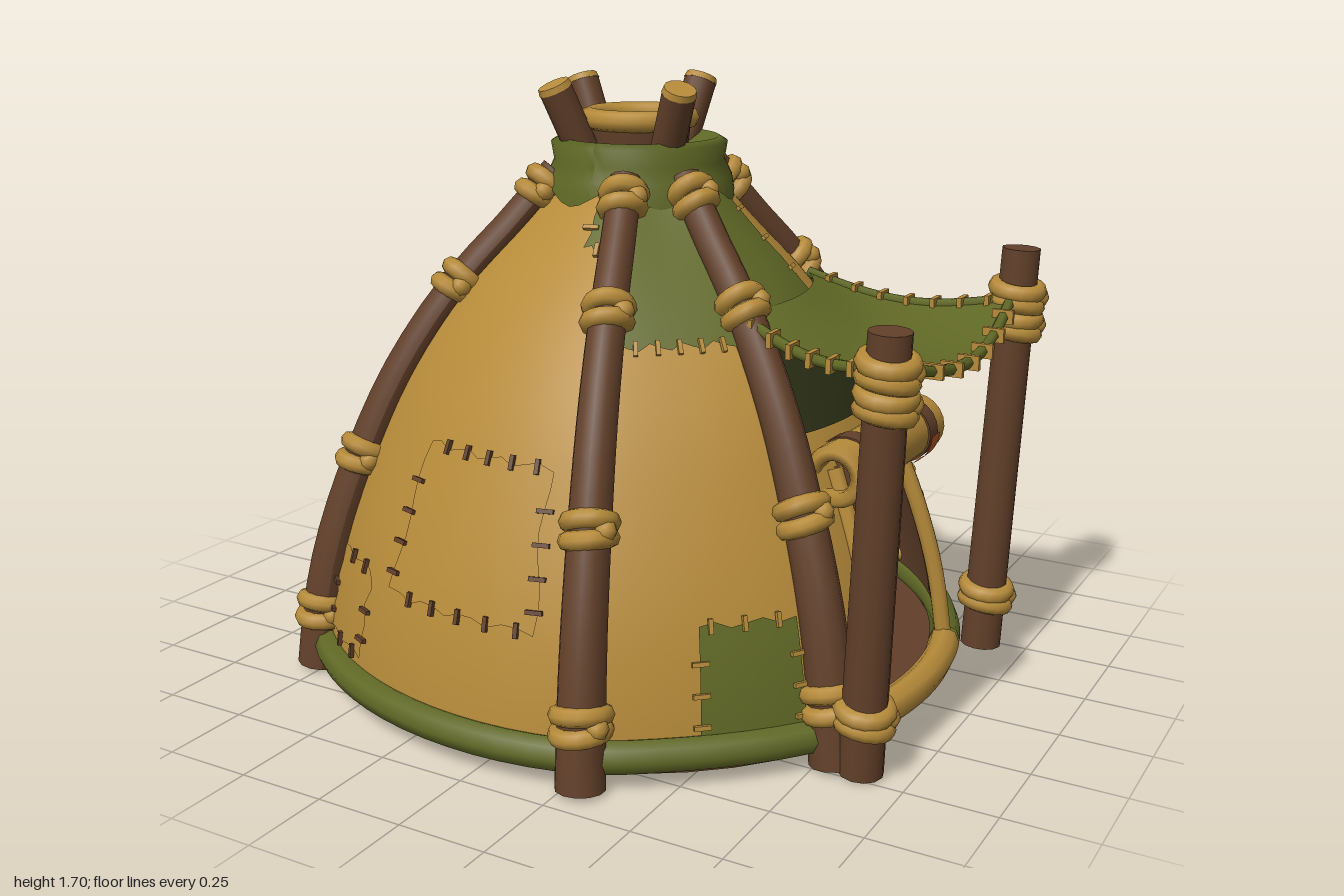
import * as THREE from 'three';

const mat = (name, color) => {
  const m = new THREE.MeshStandardMaterial({ color, side: THREE.DoubleSide });
  m.name = name;
  return m;
};
const tan = mat('tan canvas', 0xb68b3a), green = mat('green cloth', 0x616926), brown = mat('brown wood', 0x62402a);
const orange = mat('orange cloth', 0xbd5828), darkGreen = mat('dark green cloth', 0x2c3015);

const V = (x, y, z) => new THREE.Vector3(x, y, z);
const rad = THREE.MathUtils.degToRad;
const POLES = [28.5, 69, 139, 205.5, 249, 305];
const domeCurve = new THREE.CubicInterpolant(
  [0, 0.2, 0.4, 0.65, 0.9, 1.13, 1.3, 1.46], [0.94, 0.915, 0.87, 0.78, 0.66, 0.5, 0.34, 0.2], 1);
const domeR = y => domeCurve.evaluate(y)[0];

// canvas hangs slightly inward between neighbouring poles
function sag(deg) {
  const a = ((deg - POLES[0]) % 360 + 360) % 360 + POLES[0];
  const ring = [...POLES, POLES[0] + 360];
  const i = ring.findIndex((p, k) => a >= p && a <= ring[k + 1]);
  return 0.022 * Math.sin(Math.PI * (a - ring[i]) / (ring[i + 1] - ring[i]));
}
function onDome(deg, y, off = 0) {
  const r = domeR(y) - sag(deg) + off, a = rad(deg);
  return V(r * Math.cos(a), y, r * Math.sin(a));
}
function domeNormal(deg, y) {
  const slope = (domeR(y + 0.01) - domeR(y - 0.01)) / 0.02, a = rad(deg);
  return V(Math.cos(a), -slope, Math.sin(a)).normalize();
}

function add(parent, name, geometry, material) {
  const m = new THREE.Mesh(geometry, material);
  m.name = name;
  parent.add(m);
  return m;
}

// piece of cloth lying on the dome, with optionally ragged edges
function cloth(parent, name, a0, a1, y0, y1, off, material, rag = 0) {
  const nx = Math.max(4, Math.round((a1 - a0) / 3)), ny = Math.max(4, Math.round((y1 - y0) / 0.05));
  const g = new THREE.PlaneGeometry(1, 1, nx, ny), p = g.attributes.position;
  for (let i = 0; i < p.count; i++) {
    const u = p.getX(i) + 0.5, v = p.getY(i) + 0.5;
    let a = a1 + (a0 - a1) * u, y = y0 + (y1 - y0) * v;
    if (u < 0.001 || u > 0.999) a += rag * Math.sin(i * 2.7);
    if (v < 0.001 || v > 0.999) y += rag * 0.012 * Math.sin(i * 2.1);
    const q = onDome(a, y, off);
    p.setXYZ(i, q.x, q.y, q.z);
  }
  g.computeVertexNormals();
  return add(parent, name, g, material);
}

function stitch(parent, deg, y, w, h, material) {
  const m = add(parent, 'stitch', new THREE.BoxGeometry(w, h, 0.012), material);
  m.position.copy(onDome(deg, y, 0.011));
  m.lookAt(m.position.clone().add(domeNormal(deg, y)));
}
function patch(parent, name, a0, a1, y0, y1, material, thread = tan, off = 0.007) {
  cloth(parent, name, a0, a1, y0, y1, off, material, 0.8);
  for (let y = y0 + 0.05; y < y1 - 0.03; y += 0.08) for (const a of [a0, a1]) stitch(parent, a, y, 0.045, 0.012, thread);
  for (let a = a0 + 3; a < a1 - 1; a += 6) for (const y of [y0, y1]) stitch(parent, a, y, 0.012, 0.04, thread);
}

// rope wound around a pole or post, with a small knot
function binding(parent, at, dir, r) {
  const g = new THREE.Group();
  g.name = 'ropeBinding';
  [-0.022, 0.022].forEach((d, i) => {
    const t = add(g, 'ropeTurn', new THREE.TorusGeometry(r, 0.026, 8, 16), tan);
    t.position.z = d;
    t.rotation.set(0.12 * (i ? 1 : -1), 0.1, 0);
  });
  const knot = add(g, 'knot', new THREE.SphereGeometry(0.03, 8, 6), tan);
  knot.position.set(r, r * 0.4, 0);
  g.position.copy(at);
  g.quaternion.setFromUnitVectors(V(0, 0, 1), dir.clone().normalize());
  parent.add(g);
}

// straight log between two points
function log(parent, name, from, to, r0, r1) {
  const d = to.clone().sub(from);
  const m = add(parent, name, new THREE.CylinderGeometry(r1, r0, d.length(), 12), brown);
  m.position.copy(from).addScaledVector(d, 0.5);
  m.quaternion.setFromUnitVectors(V(0, 1, 0), d.clone().normalize());
  return m;
}

// log bent along the dome profile
function bentPole(parent, deg) {
  const g = new THREE.CylinderGeometry(0.046, 0.066, 1, 12, 18), p = g.attributes.position, a = rad(deg);
  const out = V(Math.cos(a), 0, Math.sin(a)), side = V(-Math.sin(a), 0, Math.cos(a));
  for (let i = 0; i < p.count; i++) {
    const y = 0.01 + (p.getY(i) + 0.5) * 1.43, n = domeNormal(deg, y);
    const q = out.clone().multiplyScalar(domeR(y) + 0.02).setY(y)
      .addScaledVector(n, p.getX(i)).addScaledVector(side, -p.getZ(i));
    p.setXYZ(i, q.x, Math.max(0, q.y), q.z);
  }
  g.computeVertexNormals();
  add(parent, 'bentPole', g, brown);
  for (const y of [0.18, 0.64, 1.13, 1.39]) {
    const n = domeNormal(deg, y);
    binding(parent, onDome(deg, y, 0.02), n.cross(side), 0.062 - y * 0.012);
  }
}

function hem(parent, a0, a1, material) {
  const pts = [];
  for (let i = 0; i <= 12; i++) pts.push(onDome(a0 + (a1 - a0) * i / 12, 0.085, 0.005));
  add(parent, 'hem', new THREE.TubeGeometry(new THREE.CatmullRomCurve3(pts), 32, 0.045, 8), material);
}

export function createModel() {
  const root = new THREE.Group();
  root.name = 'tent';
  const dome = new THREE.Group();
  dome.name = 'dome';
  dome.position.x = -0.05;
  root.add(dome);

  // canvas with a doorway on the left side, and a brown lining
  cloth(dome, 'canvas', 16, 344, 0.05, 1.46, 0, tan);
  cloth(dome, 'canvasAboveDoor', -16, 16, 0.72, 1.46, 0, tan);
  cloth(dome, 'lining', 16, 344, 0.05, 1.4, -0.02, brown);
  const floor = add(dome, 'floor', new THREE.CylinderGeometry(0.92, 0.92, 0.03, 48), brown);
  floor.position.y = 0.05;
  POLES.forEach(a => bentPole(dome, a));
  [[28, 185, green], [185, 205, tan], [205, 249, brown], [249, 269, green], [269, 305, brown], [305, 343, green],
    [17, 28, green], [-16, 16, tan]].forEach(([a0, a1, m]) => hem(dome, a0, a1, m));

  // door jambs
  for (const a of [-16.5, 16.5]) {
    const pts = [0.07, 0.3, 0.5, 0.72].map(y => onDome(a, y, 0.005));
    add(dome, 'doorJamb', new THREE.TubeGeometry(new THREE.CatmullRomCurve3(pts), 12, 0.025, 8), tan);
  }

  // sewn patches
  patch(dome, 'orangePatch', 256, 281, 0.36, 0.68, orange);
  patch(dome, 'greenPatchLow', 251, 270, 0.08, 0.36, green);
  patch(dome, 'greenPatchHigh', 253, 276, 0.68, 0.86, green);
  patch(dome, 'greenPatchBack', 209, 225, 0.1, 0.36, green);
  patch(dome, 'greenPatchSide', 308, 326, 0.08, 0.58, green);
  patch(dome, 'brownPatch', 308, 336, 0.7, 1.0, brown);
  patch(dome, 'smallOrangePatch', 311, 319, 0.6, 0.74, orange, tan, 0.012);
  patch(dome, 'greenPatchFront', 33, 50, 0.1, 0.4, green);
  patch(dome, 'greenRoof', -14, 69, 1.05, 1.42, green);
  patch(dome, 'greenRoofTip', 69, 84, 1.27, 1.42, green);
  cloth(dome, 'shadeCloth', -25, 25, 0.82, 1.06, 0.006, darkGreen);
  patch(dome, 'frontPanel', 78, 111, 0.38, 0.77, tan, brown);
  patch(dome, 'backPanel', 155, 190, 0.3, 0.68, tan, brown);
  patch(dome, 'lowTanPatch', 118, 134, 0.16, 0.4, tan, brown);

  // green collar with a wavy lower edge, and the smoke hole
  const collar = new THREE.LatheGeometry([[0.27, 1.385], [0.262, 1.43], [0.242, 1.47], [0.25, 1.52], [0.225, 1.535],
    [0.15, 1.5]].map(([x, y]) => new THREE.Vector2(x, y)), 48);
  const cp = collar.attributes.position;
  for (let i = 0; i < cp.count; i++) {
    if (cp.getY(i) < 1.4) cp.setY(i, cp.getY(i) + 0.025 * Math.sin(6 * Math.atan2(cp.getZ(i), cp.getX(i))));
  }
  collar.computeVertexNormals();
  add(dome, 'collar', collar, green);
  const chimney = add(dome, 'smokeHoleRim', new THREE.CylinderGeometry(0.15, 0.13, 0.17, 24, 1, true), brown);
  chimney.position.y = 1.525;
  const rim = add(dome, 'smokeHoleRope', new THREE.TorusGeometry(0.14, 0.03, 8, 28), tan);
  rim.rotation.x = Math.PI / 2;
  rim.position.y = 1.585;
  const hole = add(dome, 'smokeHole', new THREE.CircleGeometry(0.13, 24), darkGreen);
  hole.rotation.x = -Math.PI / 2;
  hole.position.y = 1.46;

  // pole tips above the collar
  [[-0.23, -0.07], [-0.15, 0.2], [0.06, -0.25], [0.21, 0.15]].forEach(([x, z]) => {
    const from = V(x * 0.6, 1.45, z * 0.6), to = V(x, 1.67, z);
    log(dome, 'poleTip', from, to, 0.047, 0.047);
    const d = to.clone().sub(from).normalize();
    const end = add(dome, 'cutEnd', new THREE.CylinderGeometry(0.045, 0.049, 0.018, 12), tan);
    end.position.copy(to).addScaledVector(d, 0.008);
    end.quaternion.setFromUnitVectors(V(0, 1, 0), d);
  });

  // awning posts
  for (const [s, h] of [[1, 1.18], [-1, 1.22]]) {
    const from = V(0.87, 0.01, s * 0.465), to = V(0.92, h, s * 0.495), d = to.clone().sub(from);
    log(root, 'awningPost', from, to, 0.06, 0.055);
    for (const y of [0.16, 1.0, 1.08]) binding(root, from.clone().addScaledVector(d, y / h), d, 0.058);
  }

  // awning cloth hanging between dome and posts
  const awningPoint = (u, v) => {
    const inner = onDome(-42 + 72 * u, 1.12, 0.01).add(V(-0.05, 0, 0));
    const bow = Math.sin(Math.PI * u);
    const outer = V(0.91 + 0.04 * bow, 1.08 - 0.08 * bow, -0.45 + 0.9 * u);
    const q = inner.lerp(outer, v);
    q.y -= 0.05 * Math.sin(Math.PI * v);
    return q;
  };
  const awning = new THREE.PlaneGeometry(1, 1, 16, 12), ap = awning.attributes.position;
  for (let i = 0; i < ap.count; i++) {
    const q = awningPoint(0.5 - ap.getX(i), 0.5 - ap.getY(i));
    ap.setXYZ(i, q.x, q.y, q.z);
  }
  awning.computeVertexNormals();
  add(root, 'awning', awning, green);
  const edges = [t => awningPoint(t, 1), t => awningPoint(0, t), t => awningPoint(1, t)];
  edges.forEach((edge, k) => {
    const pts = Array.from({ length: 11 }, (_, i) => edge(i / 10));
    add(root, 'awningEdge', new THREE.TubeGeometry(new THREE.CatmullRomCurve3(pts), 20, 0.016, 6), green);
    for (let t = 0.12; t < 0.95; t += 0.13) {
      const s = add(root, 'awningStitch', new THREE.BoxGeometry(k ? 0.014 : 0.06, 0.04, k ? 0.06 : 0.014), tan);
      s.position.copy(edge(t));
    }
  });

  // rolled door flap with straps
  const roll = new THREE.Group();
  roll.name = 'doorRoll';
  roll.position.set(0.69, 0.715, -0.03);
  root.add(roll);
  const wall = [[0.045, -0.3], [0.07, -0.31], [0.086, -0.29], [0.08, 0], [0.086, 0.29], [0.07, 0.31], [0.045, 0.3], [0.045, -0.3]];
  const tube = add(roll, 'rolledFlap', new THREE.LatheGeometry(wall.map(([x, y]) => new THREE.Vector2(x, y)), 20), tan);
  tube.rotation.x = Math.PI / 2;
  for (const z of [0.19, -0.2]) {
    const strap = add(roll, 'strap', new THREE.CylinderGeometry(0.089, 0.089, 0.06, 20), brown);
    strap.rotation.x = Math.PI / 2;
    strap.position.z = z;
    const tab = add(roll, 'strapTab', new THREE.CylinderGeometry(0.094, 0.094, 0.064, 10, 1, true, Math.PI * 0.5, Math.PI * 0.36), orange);
    tab.rotation.x = -Math.PI / 2;
    tab.position.z = z;
  }
  return root;
}
